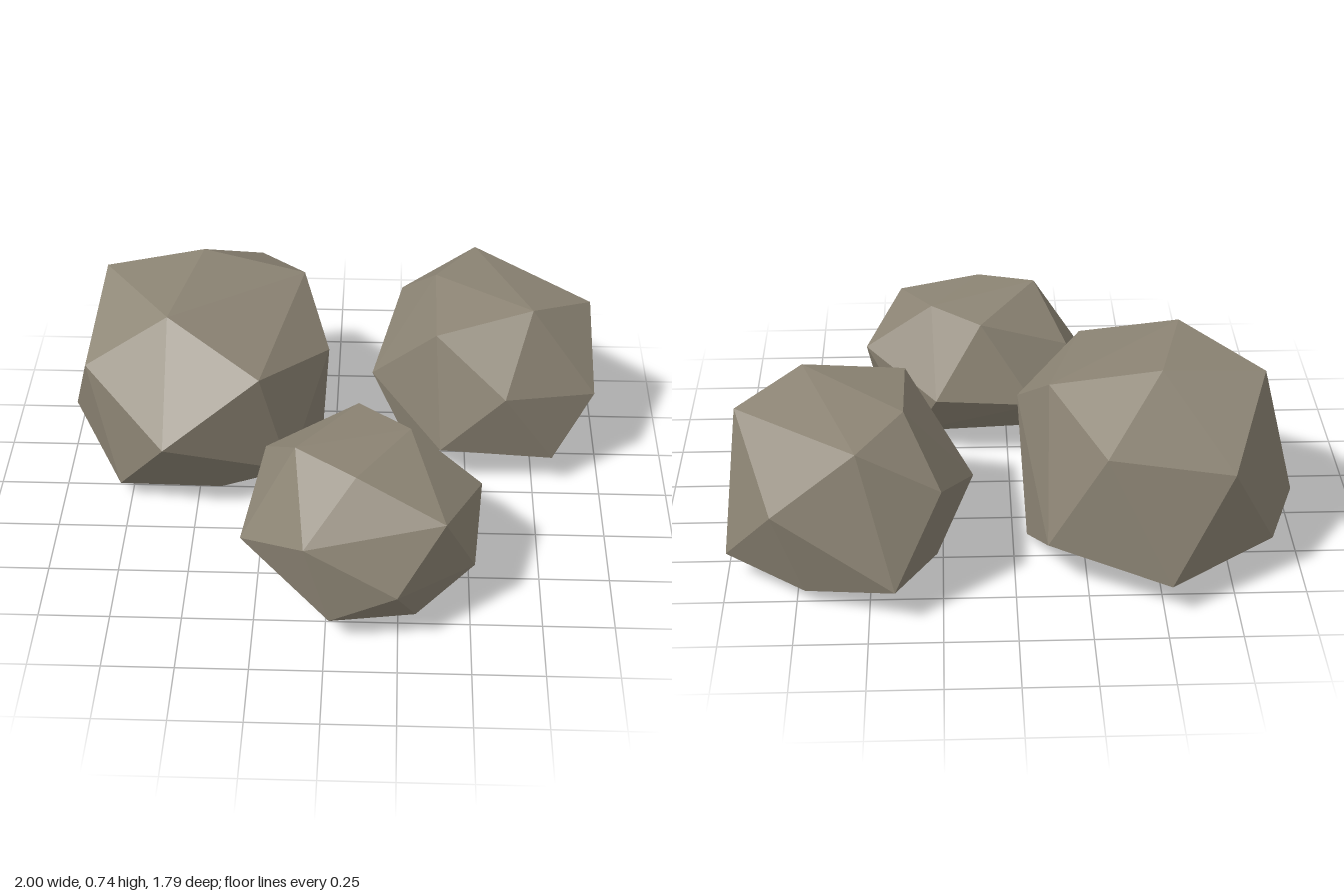
import * as THREE from 'three';
import { ConvexGeometry } from 'three/addons/geometries/ConvexGeometry.js';

const stone = new THREE.MeshStandardMaterial({ name: 'stone', color: 0x8c8474 });

// Each boulder is a faceted hull around its corners, listed in rings from crown to base
const boulders = {
  largeBoulder: [
    // crown
    [-0.86, 0.7, -0.44], [-0.5, 0.74, -0.5], [-0.12, 0.67, -0.46], [-0.6, 0.71, -0.07],
    // shoulder
    [-0.91, 0.5, -0.06], [-0.26, 0.57, 0.12], [-0.02, 0.49, -0.21],
    [-0.3, 0.56, -0.78], [-0.73, 0.48, -0.76], [-0.6, 0.36, 0.27],
    // lower ring
    [-1, 0.15, -0.32], [-0.91, 0.08, -0.53], [-0.52, 0.12, -0.88],
    [-0.11, 0.17, -0.69], [-0.16, 0.13, 0.06], [-0.79, 0.06, 0.07],
    // base
    [-0.42, 0, 0], [-0.05, 0.02, -0.39], [-0.32, 0.04, -0.62], [-0.66, 0.03, -0.42],
  ],
  mediumBoulder: [
    // crown
    [0.375, 0.62, -0.54], [0.375, 0.585, -0.17], [0.53, 0.6, -0.785],
    [0.955, 0.58, -0.43], [0.73, 0.65, -0.25],
    // shoulder
    [0.14, 0.27, -0.385], [0.25, 0.43, -0.75], [0.82, 0.37, -0.8],
    [0.97, 0.34, -0.17], [0.63, 0.42, 0],
    // lower ring
    [0.41, 0.13, -0.9], [1, 0.1, -0.6], [0.82, 0.12, -0.06], [0.4, 0.16, -0.04],
    // base
    [0.27, 0.05, -0.55], [0.72, 0.05, -0.76], [0.28, 0.045, -0.25], [0.72, 0.05, -0.3],
  ],
  smallBoulder: [
    // crown
    [0.1, 0.55, 0.215], [-0.11, 0.58, 0.525], [0.283, 0.555, 0.37], [0.1, 0.55, 0.647],
    // shoulder
    [-0.225, 0.42, 0.305], [0.535, 0.36, 0.417], [0.405, 0.44, 0.755],
    [-0.07, 0.4, 0.855], [0.27, 0.28, 0.12], [-0.1, 0.25, 0.135],
    // lower ring
    [-0.3, 0.25, 0.61], [-0.29, 0.11, 0.445], [0.515, 0.14, 0.595],
    [0.245, 0.23, 0.89], [0.015, 0.1, 0.86],
    // base
    [0.31, 0.055, 0.764], [0.35, 0.08, 0.25], [-0.05, 0.08, 0.28],
  ],
};

export function createModel() {
  const group = new THREE.Group();
  group.name = 'boulders';
  for (const [name, corners] of Object.entries(boulders)) {
    const points = corners.map((c) => new THREE.Vector3(...c));
    const mesh = new THREE.Mesh(new ConvexGeometry(points), stone);
    mesh.name = name;
    group.add(mesh);
  }
  return group;
}
